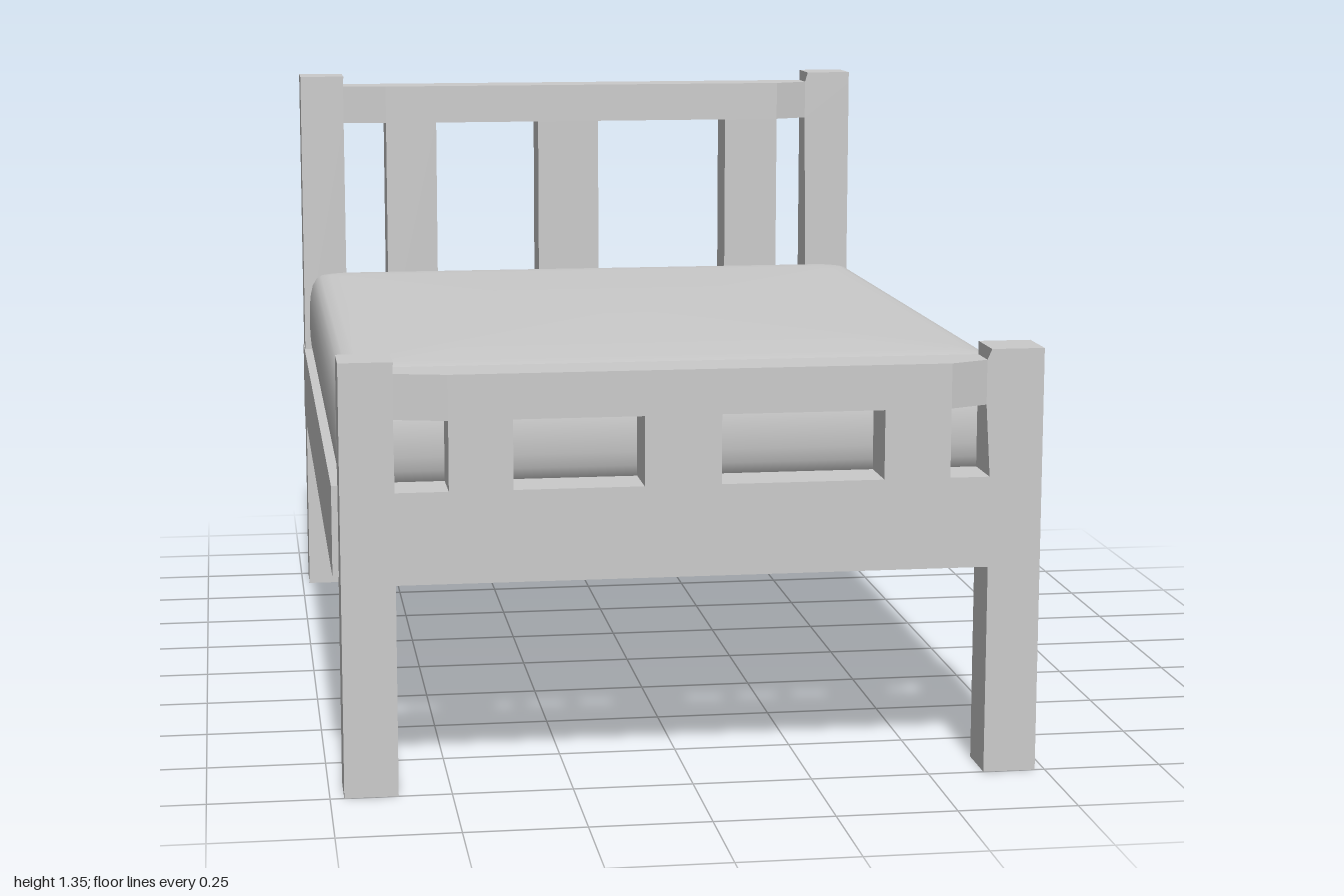
import * as THREE from 'three';
import { toCreasedNormals } from 'three/addons/utils/BufferGeometryUtils.js';

const material = new THREE.MeshStandardMaterial({ color: 0xcccccc, flatShading: true });
const softMaterial = new THREE.MeshStandardMaterial({ color: 0xcccccc });

// Box given by its limits on each axis
function box(name, [x0, x1], [y0, y1], [z0, z1]) {
  const mesh = new THREE.Mesh(new THREE.BoxGeometry(x1 - x0, y1 - y0, z1 - z0), material);
  mesh.name = name;
  mesh.position.set((x0 + x1) / 2, (y0 + y1) / 2, (z0 + z1) / 2);
  return mesh;
}

// Post whose inner front edge is cut back where the upper rail meets it
function post(name, [outer, inner], levels, [back, front], cut) {
  const height = levels[4];
  const geometry = new THREE.BoxGeometry(Math.abs(inner - outer), height, front - back, 1, 4, 1);
  geometry.translate((outer + inner) / 2, height / 2, (back + front) / 2);
  const p = geometry.attributes.position;
  for (let i = 0; i < p.count; i++) {
    const level = Math.round(p.getY(i) / height * 4);
    p.setY(i, levels[level]);
    const isInner = Math.abs(p.getX(i) - inner) < 1e-4;
    const isFront = Math.abs(p.getZ(i) - front) < 1e-4;
    if (isInner && isFront && (level === 2 || level === 3)) p.setZ(i, front - cut);
  }
  const mesh = new THREE.Mesh(geometry, softMaterial);
  mesh.name = name;
  return mesh;
}

// Upper rail: plan outline with the front face cut back towards the posts
function upperRail([x0, x1], [c0, c1], [y0, y1], [back, front], [cut0, cut1]) {
  const outline = [[x0, back], [x0, front - cut0], [c0, front], [c1, front], [x1, front - cut1], [x1, back]];
  const shape = new THREE.Shape(outline.map(([x, z]) => new THREE.Vector2(x, -z)));
  const geometry = new THREE.ExtrudeGeometry(shape, { depth: y1 - y0, bevelEnabled: false });
  geometry.rotateX(-Math.PI / 2);
  const mesh = new THREE.Mesh(geometry, material);
  mesh.name = 'upperRail';
  mesh.position.y = y0;
  return mesh;
}

// End frame: two posts, two cross rails and three upright slats
function endFrame(name, shift, z, postTop, railTop, railBottom) {
  const group = new THREE.Group();
  group.name = name;
  const move = (a, b) => [a + shift, b + shift];
  const levels = [0, 0.633, railBottom, railTop, postTop];
  const cuts = [0.026, 0.036];
  group.add(post('rightPost', move(-0.732, -0.621), levels, z, cuts[0]));
  group.add(post('leftPost', move(0.718, 0.607), levels, z, cuts[1]));
  group.add(box('lowerRail', move(-0.621, 0.607), [0.442, 0.633], z));
  group.add(upperRail(move(-0.621, 0.607), move(-0.512, 0.524), [railBottom, railTop], z, cuts));
  for (const [a, b] of [[-0.512, -0.381], [-0.113, 0.046], [0.385, 0.524]]) {
    group.add(box('slat', move(a, b), [0.633, railBottom], z));
  }
  return group;
}

// Mattress: rounded rectangles stacked as [inset x, inset z, height].
// The lower half mirrors the upper half and sinks between the side rails.
function mattress() {
  const middle = 0.718;
  const upper = [
    [0, 0, 0.718], [0, 0.002, 0.755], [0.003, 0.008, 0.785], [0.008, 0.02, 0.81],
    [0.016, 0.04, 0.829], [0.028, 0.07, 0.841], [0.05, 0.12, 0.849], [0.09, 0.19, 0.853],
  ];
  const lower = upper.slice(1).reverse().map(([ix, iz, y]) => [ix, iz, 2 * middle - y]);
  const levels = [...lower, ...upper];
  const halfX = 0.716, halfZ = 0.883, radius = 0.055, steps = 8;
  const positions = [], index = [];
  const count = 4 * (steps + 1);
  for (const [insetX, insetZ, y] of levels) {
    for (let corner = 0; corner < 4; corner++) {
      const sx = corner === 0 || corner === 3 ? 1 : -1;
      const sz = corner < 2 ? 1 : -1;
      for (let i = 0; i <= steps; i++) {
        const a = (corner + i / steps) * Math.PI / 2;
        positions.push(
          sx * (halfX - insetX - radius) + radius * Math.cos(a), y,
          sz * (halfZ - insetZ - radius) + radius * Math.sin(a));
      }
    }
  }
  const bottom = levels.length * count, top = bottom + 1;
  const last = bottom - count;
  positions.push(0, levels[0][2], 0, 0, levels[levels.length - 1][2], 0);
  for (let i = 0; i < count; i++) {
    const j = (i + 1) % count;
    for (let a = 0; a < last; a += count) {
      const b = a + count;
      index.push(a + i, b + i, a + j, a + j, b + i, b + j);
    }
    index.push(bottom, i, j, top, last + j, last + i);
  }
  const geometry = new THREE.BufferGeometry();
  geometry.setAttribute('position', new THREE.Float32BufferAttribute(positions, 3));
  geometry.setIndex(index);
  const mesh = new THREE.Mesh(toCreasedNormals(geometry, 0.8), softMaterial);
  mesh.name = 'mattress';
  mesh.position.set(-0.004, 0, -0.005);
  return mesh;
}

export function createModel() {
  const bed = new THREE.Group();
  bed.name = 'bed';
  bed.add(endFrame('headboard', 0, [-1, -0.888], 1.346, 1.319, 1.224));
  bed.add(endFrame('footboard', 0.011, [0.89, 1], 0.9, 0.872, 0.778));
  // Side rails
  bed.add(box('leftSideRail', [0.625, 0.727], [0.442, 0.632], [-0.983, 0.89]));
  bed.add(box('rightSideRail', [-0.734, -0.633], [0.442, 0.632], [-0.983, 0.905]));
  bed.add(mattress());
  return bed;
}
